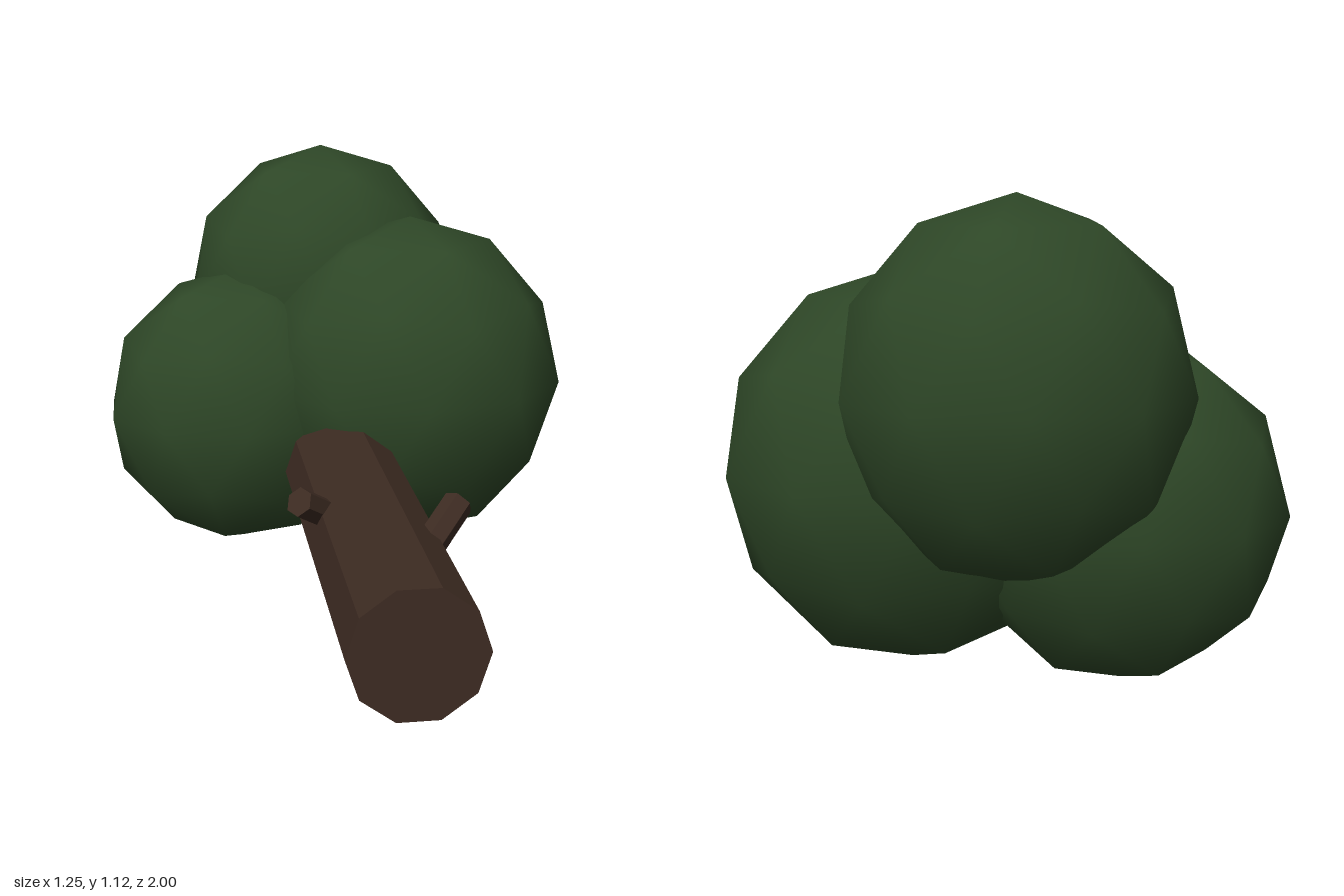
import * as THREE from 'three';

const bark = new THREE.MeshStandardMaterial({ color: 0x3d2b22, flatShading: true });
bark.name = 'bark brown';
const leaf = new THREE.MeshStandardMaterial({ color: 0x2e4727 });
leaf.name = 'leaf green';

// Straight faceted limb between two points
function limb(name, from, to, radius, sides) {
  const a = new THREE.Vector3(...from);
  const b = new THREE.Vector3(...to);
  const geometry = new THREE.CylinderGeometry(radius, radius, a.distanceTo(b), sides);
  geometry.rotateY(Math.PI / 2);
  const mesh = new THREE.Mesh(geometry, bark);
  mesh.name = name;
  mesh.position.copy(a).lerp(b, 0.5);
  mesh.quaternion.setFromUnitVectors(new THREE.Vector3(0, 1, 0), b.sub(a).normalize());
  return mesh;
}

// Smooth-shaded low-poly ellipsoid with a corner of the icosahedron at its top
function foliage(name, center, radii) {
  const geometry = new THREE.IcosahedronGeometry(1, 1);
  geometry.rotateZ(-Math.atan(2 / (1 + Math.sqrt(5))));
  geometry.scale(...radii);
  const mesh = new THREE.Mesh(geometry, leaf);
  mesh.name = name;
  mesh.position.set(...center);
  return mesh;
}

export function createModel() {
  const tree = new THREE.Group();
  tree.name = 'fallenTree';

  // Trunk lying along z, sinking slightly towards the crown
  tree.add(limb('trunk', [-0.012, 0.312, 1], [-0.012, 0.279, -0.45], 0.15, 10));

  // Cut branch stubs
  tree.add(limb('leftBranchStub', [0.07, 0.355, 0.585], [0.17, 0.44, 0.485], 0.036, 6));
  tree.add(limb('rightBranchStub', [-0.09, 0.345, 0.295], [-0.188, 0.425, 0.39], 0.036, 6));

  // Crown
  tree.add(foliage('leftFoliage', [0.21, 0.49, -0.42], [0.43, 0.46, 0.365]));
  tree.add(foliage('rightFoliage', [-0.265, 0.4, -0.51], [0.38, 0.4, 0.32]));
  tree.add(foliage('topFoliage', [-0.01, 0.7, -0.67], [0.39, 0.42, 0.33]));

  return tree;
}
